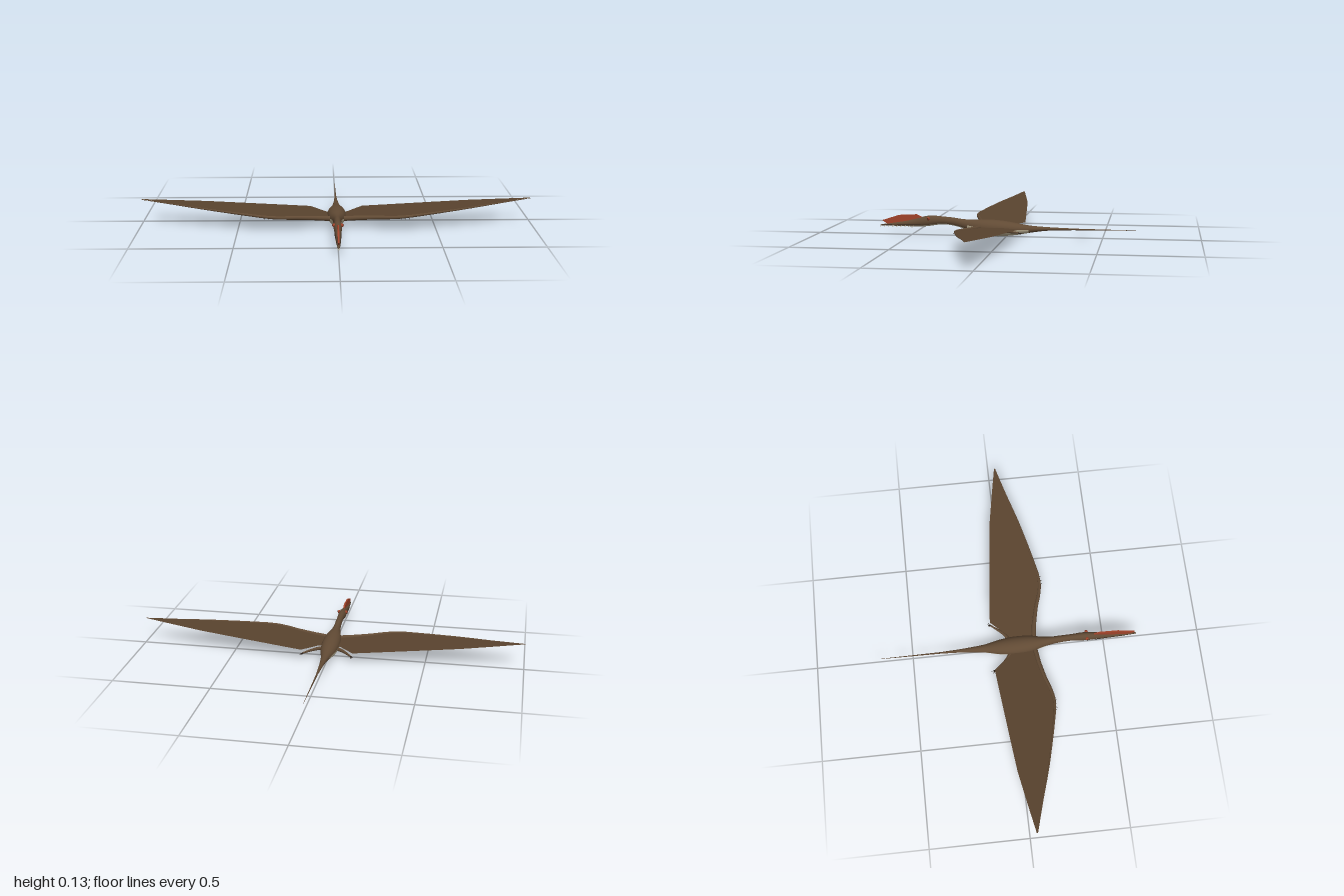
import * as THREE from 'three';

const mat = (name, color, side = THREE.FrontSide) => {
  const m = new THREE.MeshStandardMaterial({ color, side });
  m.name = name;
  return m;
};

export function createModel() {
  const brown = mat('hide brown', 0x614a34);
  const pale = mat('belly tan', 0xb5a88c);
  const skin = mat('wing membrane', 0x59432e, THREE.DoubleSide);
  const red = mat('crest red', 0xa0432a);
  const dark = mat('claw dark', 0x2b2119);
  const ivory = mat('tooth ivory', 0xcfc6ae);

  const model = new THREE.Group();
  model.name = 'flyingReptile';
  const add = (parent, name, geo, material) => {
    const mesh = new THREE.Mesh(geo, material);
    mesh.name = name;
    parent.add(mesh);
    return mesh;
  };
  const v = (x, y, z) => new THREE.Vector3(x, y, z);

  // Tapered limb along a smooth path, radius interpolated from r0 to r1
  const limb = (points, r0, r1, segs = 20, sides = 8) => {
    const curve = new THREE.CatmullRomCurve3(points.map(p => v(...p)));
    const geo = new THREE.TubeGeometry(curve, segs, 1, sides);
    const pos = geo.attributes.position;
    for (let i = 0; i <= segs; i++) {
      const c = curve.getPointAt(i / segs);
      const r = r0 + (r1 - r0) * i / segs;
      for (let j = 0; j <= sides; j++) {
        const k = i * (sides + 1) + j;
        const p = v(0, 0, 0).fromBufferAttribute(pos, k).sub(c).multiplyScalar(r).add(c);
        pos.setXYZ(k, p.x, p.y, p.z);
      }
    }
    geo.computeVertexNormals();
    return geo;
  };
  // Small cone from a base point to a tip
  const spike = (parent, name, a, b, r, material) => {
    const d = b.clone().sub(a);
    const m = add(parent, name, new THREE.ConeGeometry(r, d.length(), 5), material);
    m.position.copy(a).addScaledVector(d, 0.5);
    m.quaternion.setFromUnitVectors(v(0, 1, 0), d.normalize());
  };

  // Body, neck and head lofted through ellipses: z, half width, bottom, top
  const keys = [
    [-0.34, 0.005, 0.039, 0.049], [-0.27, 0.008, 0.037, 0.051], [-0.2, 0.013, 0.033, 0.054],
    [-0.12, 0.022, 0.021, 0.06], [-0.06, 0.036, 0.01, 0.07], [0, 0.045, 0.003, 0.08],
    [0.06, 0.047, 0, 0.086], [0.12, 0.042, 0.005, 0.087], [0.17, 0.029, 0.018, 0.085],
    [0.22, 0.02, 0.036, 0.086], [0.28, 0.017, 0.052, 0.094], [0.34, 0.017, 0.057, 0.099],
    [0.38, 0.02, 0.051, 0.102], [0.42, 0.02, 0.045, 0.1], [0.46, 0.016, 0.043, 0.09],
    [0.53, 0.012, 0.043, 0.073], [0.61, 0.008, 0.044, 0.06], [0.67, 0.003, 0.044, 0.05]];
  const sides = 24, rows = keys.length - 1, steps = rows * 3;
  const splines = [1, 2, 3].map(k => new THREE.CatmullRomCurve3(keys.map(q => v(q[0], q[k], 0))));
  const pos = [], upper = [], lower = [];
  for (let i = 0; i <= steps; i++) {
    const [w, b, t] = splines.map(s => s.getPoint(i / steps));
    for (let j = 0; j < sides; j++) {
      const a = j / sides * Math.PI * 2;
      pos.push(w.y * Math.cos(a), (b.y + t.y) / 2 + (t.y - b.y) / 2 * Math.sin(a), w.x);
    }
    if (i === steps) break;
    for (let j = 0; j < sides; j++) {
      const n = (j + 1) % sides, p = i * sides + j, q = i * sides + n;
      const belly = w.x > -0.13 && w.x < 0.2 && j >= 12;
      const throat = w.x >= 0.2 && j >= 15 && j < 21;
      (belly || throat ? lower : upper).push(p, q, p + sides, q, q + sides, p + sides);
    }
  }
  const body = new THREE.BufferGeometry();
  body.setAttribute('position', new THREE.Float32BufferAttribute(pos, 3));
  body.setIndex([...upper, ...lower]);
  body.addGroup(0, upper.length, 0);
  body.addGroup(upper.length, lower.length, 1);
  body.computeVertexNormals();
  add(model, 'bodyNeckAndHead', body, [brown, pale]);

  // Whip tail
  add(model, 'tail', limb([[0, 0.044, -0.33], [0, 0.044, -0.5], [0, 0.044, -0.67]], 0.0045, 0.0008, 8, 6), brown);

  // Crest along the snout
  const crestShape = new THREE.Shape([[0.435, 0.088], [0.475, 0.107], [0.57, 0.102], [0.66, 0.073],
    [0.625, 0.05], [0.52, 0.066]].map(([z, y]) => new THREE.Vector2(z, y)));
  const crestGeo = new THREE.ExtrudeGeometry(crestShape, { depth: 0.008, bevelEnabled: false });
  crestGeo.rotateY(-Math.PI / 2).translate(0.004, 0, 0);
  add(model, 'crest', crestGeo, red);

  // Wing stations: x, leading z, trailing z
  const stations = [[0.03, 0.145, 0.02], [0.06, 0.15, 0.0], [0.1, 0.155, -0.045], [0.135, 0.162, -0.083],
    [0.2, 0.177, -0.077], [0.26, 0.196, -0.071], [0.32, 0.207, -0.065], [0.38, 0.203, -0.059],
    [0.5, 0.176, -0.047], [0.68, 0.13, -0.028], [0.85, 0.078, 0.002], [1, 0.035, 0.03]];
  const wingY = x => 0.046 + 0.08 * x;

  for (const s of [1, -1]) {
    const side = s > 0 ? 'left' : 'right';

    // Wing membrane
    const wing = new THREE.Group();
    wing.name = side + 'Wing';
    model.add(wing);
    const wp = [], wi = [];
    stations.forEach(([x, a, b], i) => {
      wp.push(s * x, wingY(x), a, s * x, wingY(x), b);
      if (i) {
        const k = i * 2 - 2;
        wi.push(...(s > 0 ? [k, k + 2, k + 1, k + 1, k + 2, k + 3] : [k, k + 1, k + 2, k + 1, k + 3, k + 2]));
      }
    });
    const membrane = new THREE.BufferGeometry();
    membrane.setAttribute('position', new THREE.Float32BufferAttribute(wp, 3));
    membrane.setIndex(wi);
    membrane.computeVertexNormals();
    add(wing, side + 'Membrane', membrane, skin);

    // Arm and long wing finger along the leading edge
    const bone = stations.map(([x, a]) => [s * x, wingY(x) - 0.002, a - 0.011 * (1 - x)]);
    add(wing, side + 'Arm', limb(bone.slice(0, 8), 0.013, 0.007, 24), brown);
    add(wing, side + 'WingFinger', limb(bone.slice(7), 0.007, 0.001, 24, 6), brown);
    for (let i = 0; i < 3; i++) {
      const x = 0.32 + i * 0.02;
      spike(wing, side + 'HandClaw', v(s * x, 0.07, 0.199), v(s * (x + 0.004), 0.06, 0.215), 0.003, dark);
    }

    // Hind leg, with splayed toes
    const leg = new THREE.Group();
    leg.name = side + 'Leg';
    model.add(leg);
    add(leg, side + 'Shank', limb([[s * 0.025, 0.036, 0.015], [s * 0.07, 0.037, -0.015],
      [s * 0.125, 0.038, -0.08]], 0.011, 0.004, 12), brown);
    for (let i = -1; i <= 1; i++) {
      spike(leg, side + 'Toe', v(s * 0.123, 0.038, -0.077),
        v(s * (0.136 + i * 0.009), 0.034, -0.1 + i * 0.005), 0.003, dark);
    }

    // Eye
    const eye = add(model, side + 'Eye', new THREE.SphereGeometry(0.009, 12, 8), red);
    eye.position.set(s * 0.019, 0.087, 0.408);
    const pupil = add(model, side + 'Pupil', new THREE.SphereGeometry(0.004, 8, 6), dark);
    pupil.position.set(s * 0.0255, 0.088, 0.409);

    // Mouth line and forward-raking teeth
    add(model, side + 'MouthLine', limb([[s * 0.0165, 0.056, 0.45], [s * 0.0125, 0.054, 0.53],
      [s * 0.0085, 0.051, 0.61], [s * 0.003, 0.047, 0.67]], 0.0015, 0.001, 10, 5), dark);
    for (let i = 0; i < 9; i++) {
      const z = 0.49 + i * 0.0215, x = s * (0.012 - i * 0.0011);
      spike(model, side + 'Tooth', v(x, 0.048, z), v(x * 1.15, 0.035, z + 0.011), 0.0022, ivory);
    }
  }
  return model;
}
